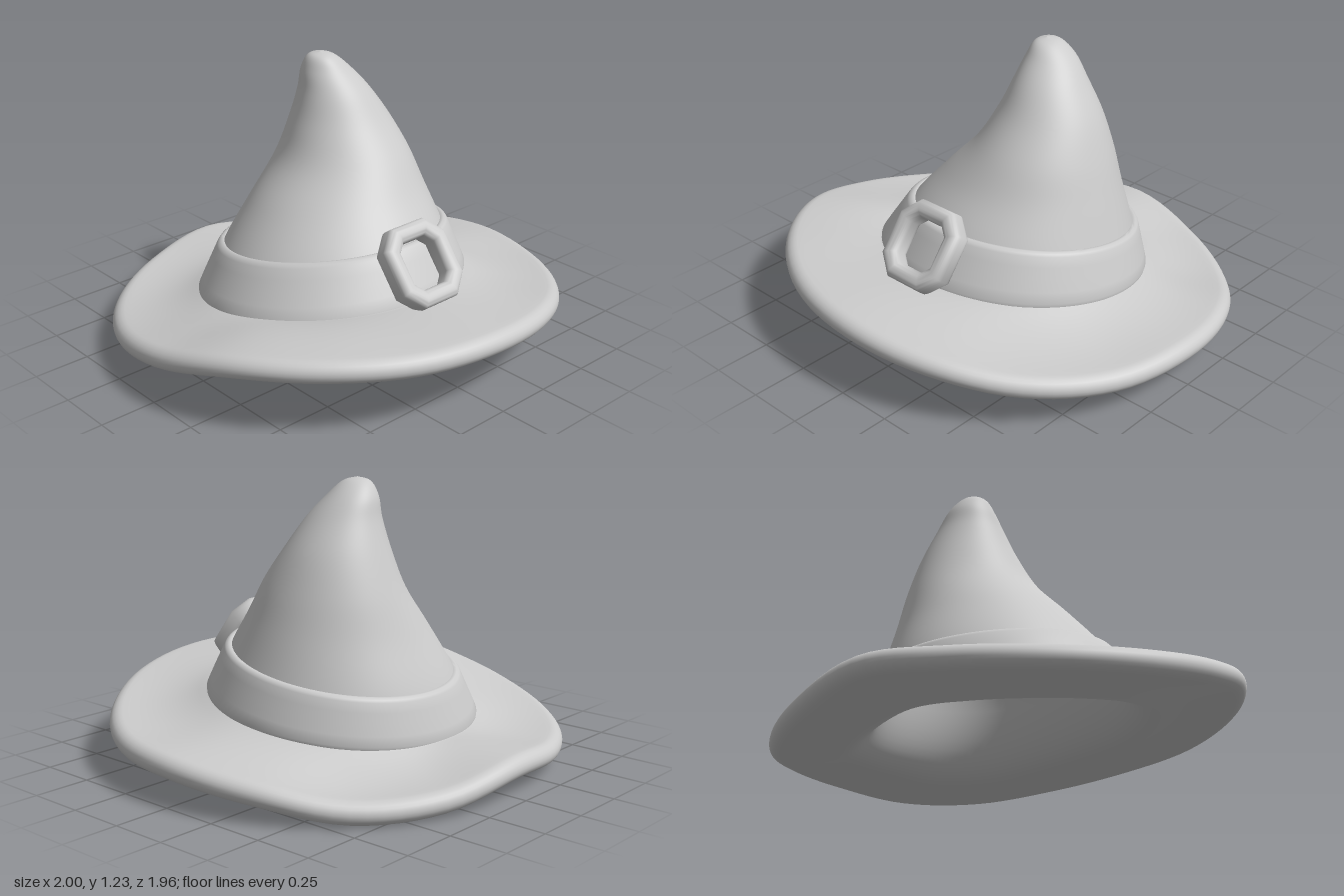
import * as THREE from 'three';
import { toCreasedNormals } from 'three/addons/utils/BufferGeometryUtils.js';

const SEG = 96;
const TAU = Math.PI * 2;
const mix = THREE.MathUtils.lerp;
const V = (x, y, z) => new THREE.Vector3(x, y, z);

// Skin a list of rings; each ring is a function angle -> point (0 = front, quarter turn = +x)
function skin(rings, closed = false) {
  const pos = [], idx = [], n = rings.length;
  for (const ring of rings)
    for (let j = 0; j < SEG; j++) pos.push(...ring((j / SEG) * TAU).toArray());
  for (let i = 0; i < (closed ? n : n - 1); i++)
    for (let j = 0; j < SEG; j++) {
      const k = (j + 1) % SEG, lo = ((i + 1) % n) * SEG;
      const a = i * SEG + j, b = i * SEG + k, c = lo + j, d = lo + k;
      idx.push(a, c, b, b, c, d);
    }
  const g = new THREE.BufferGeometry();
  g.setAttribute('position', new THREE.Float32BufferAttribute(pos, 3));
  g.setIndex(idx);
  g.computeVertexNormals();
  return g;
}

// Tilted ellipse: centre, radii and slope of height along z
const ellipse = (c, rx, rz, k) => (a) =>
  V(c.x + rx * Math.sin(a), c.y + k * rz * Math.cos(a), c.z + rz * Math.cos(a));

// Crown rings from tip to base: [cx, y, cz, rx, rz, slope]
const CROWN = [
  [0.062, 1.228, -0.168, 0, 0, 0],
  [0.068, 1.21, -0.168, 0.056, 0.062, 0],
  [0.088, 1.15, -0.163, 0.106, 0.112, 0.01],
  [0.111, 1.06, -0.139, 0.155, 0.161, 0.03],
  [0.127, 0.93, -0.12, 0.22, 0.226, 0.05],
  [0.12, 0.78, -0.095, 0.29, 0.305, 0.08],
  [0.075, 0.62, -0.077, 0.386, 0.383, 0.12],
  [0.03, 0.44, -0.06, 0.485, 0.48, 0.165],
  [0, 0.255, -0.03, 0.57, 0.555, 0.14],
];
const path = (pts, closed) => new THREE.CatmullRomCurve3(pts, closed, 'catmullrom', 0.5);
const centres = path(CROWN.map((r) => V(r[0], r[1], r[2])), false);
const sizes = path(CROWN.map((r) => V(r[3], r[4], r[5])), false);

// Rim height at sixteen compass points, going from the front towards +x
const RIM = [0.285, 0.245, 0.185, 0.15, 0.145, 0.11, 0.05, 0.06,
  0.12, 0.09, 0.085, 0.12, 0.19, 0.275, 0.3, 0.295];
const rimCurve = path(RIM.map((y) => V(0, y, 0)), true);
const rimY = (a) => rimCurve.getPoint((a / TAU) % 1).y;
const baseY = (a) => 0.255 + 0.08 * Math.cos(a);

function crownRings(inset) {
  const rings = [];
  for (let i = 0; i <= 48; i++) {
    const c = centres.getPoint(i / 48), s = sizes.getPoint(i / 48);
    c.y -= inset * 1.6;
    rings.push(ellipse(c, Math.max(0, s.x - inset), Math.max(0, s.y - inset), s.z));
  }
  return rings;
}

// Brim ring at fraction t from crown base to rim; drop lowers it for the underside
function brimRing(t, inner, dropBase, dropRim) {
  const s = 1 - Math.pow(1 - t, 2.5);
  const rx = mix(inner, 0.945, t), rz = mix(inner, 0.925, t), cz = mix(-0.03, 0, t);
  return (a) => V(rx * Math.sin(a),
    mix(baseY(a) - dropBase, rimY(a) + 0.05 - dropRim, s), cz + rz * Math.cos(a));
}

// Rings sweeping in a soft curve from one ring to another, pulled towards a third
function fillet(from, pull, to, steps) {
  const rings = [];
  for (let i = 1; i < steps; i++)
    rings.push((a) => new THREE.QuadraticBezierCurve3(from(a), pull(a), to(a)).getPoint(i / steps));
  return rings;
}

function bodyGeometry() {
  const rings = crownRings(0);
  for (let i = 1; i <= 14; i++) rings.push(brimRing(i / 14, 0.57, 0, 0));
  // Rounded rim
  for (let i = 1; i < 12; i++) {
    const p = Math.PI / 2 - (i / 12) * Math.PI, out = 0.055 * Math.cos(p);
    rings.push((a) => V((0.945 + out) * Math.sin(a),
      rimY(a) + 0.05 * Math.sin(p), (0.925 + out) * Math.cos(a)));
  }
  // Underside, curving softly into the hollow of the crown
  const under = (t) => brimRing(t, 0.53, 0.155, 0.1);
  for (let i = 14; i >= 5; i--) rings.push(under(i / 14));
  const hollow = crownRings(0.04).reverse().slice(7);
  rings.push(...fillet(under(5 / 14), under(0), hollow[0], 12), ...hollow);
  return skin(rings);
}

// Flared band with a small rounded lip: fraction up the band and outward offset
function bandGeometry() {
  const section = [
    [1, -0.03], [1.03, -0.01], [1.06, 0.004], [1.06, 0.014], [1.02, 0.023],
    [0.97, 0.026], [0.75, 0.027], [0.5, 0.028], [0.25, 0.029], [0.02, 0.029],
    [-0.06, 0.022], [-0.1, 0], [-0.1, -0.03],
  ];
  const rings = section.map(([t, o]) => {
    const c = V(mix(0, 0.03, t), mix(0.255, 0.44, t), mix(-0.03, -0.06, t));
    return ellipse(c, mix(0.57, 0.485, t) + o, mix(0.555, 0.48, t) + o, mix(0.14, 0.165, t));
  });
  return toCreasedNormals(skin(rings, true), 0.9);
}

// Rectangle with cut corners
function cutRect(target, w, h, cut) {
  const pts = [[w, h - cut], [w - cut, h], [cut - w, h], [-w, h - cut],
    [-w, cut - h], [cut - w, -h], [w - cut, -h], [w, cut - h]];
  return target.setFromPoints(pts.map(([x, y]) => new THREE.Vector2(x, y)));
}

function buckleGeometry() {
  const shape = cutRect(new THREE.Shape(), 0.139, 0.145, 0.06);
  shape.holes.push(cutRect(new THREE.Path(), 0.13, 0.136, 0.056));
  const g = new THREE.ExtrudeGeometry(shape, {
    depth: 0.035, bevelEnabled: true, bevelSize: 0.032, bevelThickness: 0.034, bevelSegments: 6,
  });
  g.translate(0, 0, -0.0175);
  return toCreasedNormals(g, 1.0);
}

export function createModel() {
  const group = new THREE.Group();
  group.name = 'pointedHat';
  const material = new THREE.MeshStandardMaterial({ color: 0xcccccc });
  const add = (name, geometry) => {
    const mesh = new THREE.Mesh(geometry, material);
    mesh.name = name;
    group.add(mesh);
    return mesh;
  };
  add('crownAndBrim', bodyGeometry());
  add('hatBand', bandGeometry());

  // Buckle leans back against the front of the band
  const buckle = add('buckle', buckleGeometry());
  buckle.position.set(0, 0.478, 0.517);
  buckle.rotation.x = -0.66;
  return group;
}
